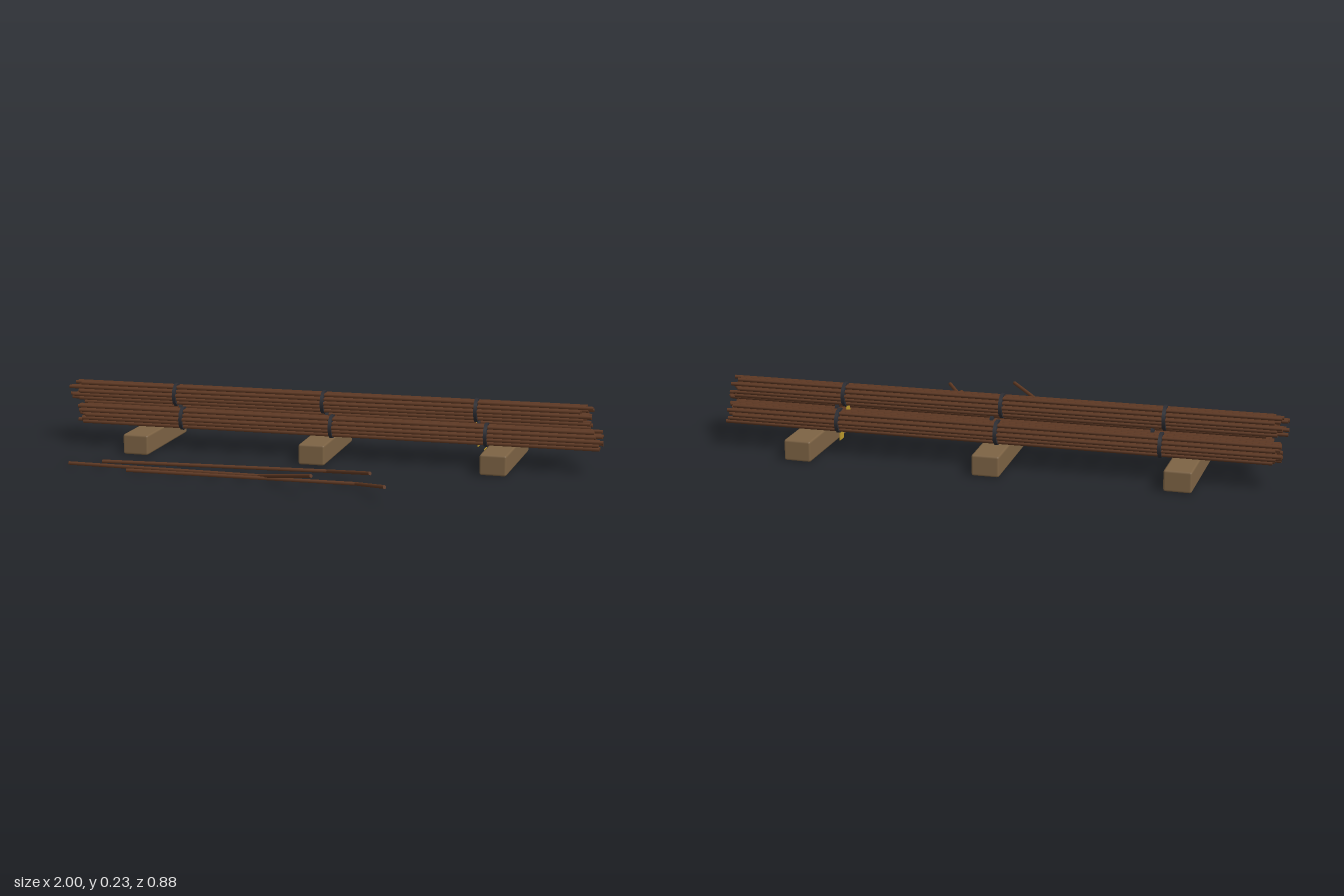
import * as THREE from 'three';
import { RoundedBoxGeometry } from 'three/addons/geometries/RoundedBoxGeometry.js';

const mat = (name, color) => {
  const m = new THREE.MeshStandardMaterial({ color });
  m.name = name;
  return m;
};

// small seeded generator returning values in -1..1
function seeded(seed) {
  return () => {
    seed = (seed * 16807) % 2147483647;
    return (seed / 2147483647) * 2 - 1;
  };
}

export function createModel() {
  const group = new THREE.Group();
  const rust = mat('rusty steel', 0x5e3822);
  const wire = mat('tie wire', 0x2c2d33);
  const timber = mat('timber', 0x7d6344);
  const yellow = mat('yellow tag', 0xbd9a2c);
  const rand = seeded(4711);

  const add = (parent, name, geo, material, x = 0, y = 0, z = 0) => {
    const mesh = new THREE.Mesh(geo, material);
    mesh.name = name;
    mesh.position.set(x, y, z);
    parent.add(mesh);
    return mesh;
  };

  // timber bearers, each slightly turned
  const bearerGeo = new RoundedBoxGeometry(0.096, 0.074, 0.422, 1, 0.008);
  for (const [x, yaw] of [[-0.67, -0.02], [-0.018, 0.004], [0.637, -0.025]]) {
    add(group, 'timberBearer', bearerGeo, timber, x, 0.037, -0.232).rotation.y = yaw;
  }

  // hexagonal packing of 19 bars
  const pitch = 0.0165;
  const slots = [];
  for (let row = -2; row <= 2; row++) {
    const count = 5 - Math.abs(row);
    for (let i = 0; i < count; i++) {
      slots.push([row * pitch * 0.866, (i - (count - 1) / 2) * pitch]);
    }
  }

  const barGeo = new THREE.CylinderGeometry(0.0068, 0.0068, 1.9, 7).rotateZ(Math.PI / 2);
  const tieGeo = new THREE.CylinderGeometry(0.043, 0.043, 0.012, 10).rotateZ(Math.PI / 2);
  const tagGeo = new THREE.BoxGeometry(0.003, 0.028, 0.036);

  // three stacked bundles with ties and a hanging tag
  for (const [x, y, z] of [[0.025, 0.117, -0.154], [-0.027, 0.117, -0.312], [-0.025, 0.188, -0.232]]) {
    const bundle = new THREE.Group();
    bundle.name = 'barBundle';
    bundle.position.set(x, y, z);
    for (const [sy, sz] of slots) add(bundle, 'bar', barGeo, rust, rand() * 0.025, sy, sz);
    for (const tx of [-0.56, 0, 0.56]) add(bundle, 'tie', tieGeo, wire, tx);
    add(bundle, 'tag', tagGeo, yellow, 0.56, -0.059, 0.018);
    group.add(bundle);
  }

  // loose bars lying in front, bent up at one end
  const looseBars = [
    [[-0.74, 0.008, 0.14], [0.07, 0.008, 0.085], [0.275, 0.063, 0.308]],
    [[-0.845, 0.008, 0.197], [-0.14, 0.008, 0.215], [0.105, 0.073, 0.435]],
    [[-0.61, 0.008, 0.25], [0.21, 0.008, 0.243], [0.355, 0.051, 0.437]],
  ];
  const up = new THREE.Vector3(0, 1, 0);
  for (const path of looseBars) {
    const bent = new THREE.Group();
    bent.name = 'bentBar';
    const pts = path.map((p) => new THREE.Vector3(...p));
    for (let i = 0; i < 2; i++) {
      const dir = pts[i + 1].clone().sub(pts[i]);
      const geo = new THREE.CylinderGeometry(0.0065, 0.0065, dir.length(), 7);
      const mid = pts[i].clone().add(pts[i + 1]).multiplyScalar(0.5);
      const seg = add(bent, i ? 'raisedEnd' : 'straightLength', geo, rust, mid.x, mid.y, mid.z);
      seg.quaternion.setFromUnitVectors(up, dir.normalize());
    }
    add(bent, 'bend', new THREE.SphereGeometry(0.0065, 7, 5), rust, ...path[1]);
    group.add(bent);
  }

  return group;
}
